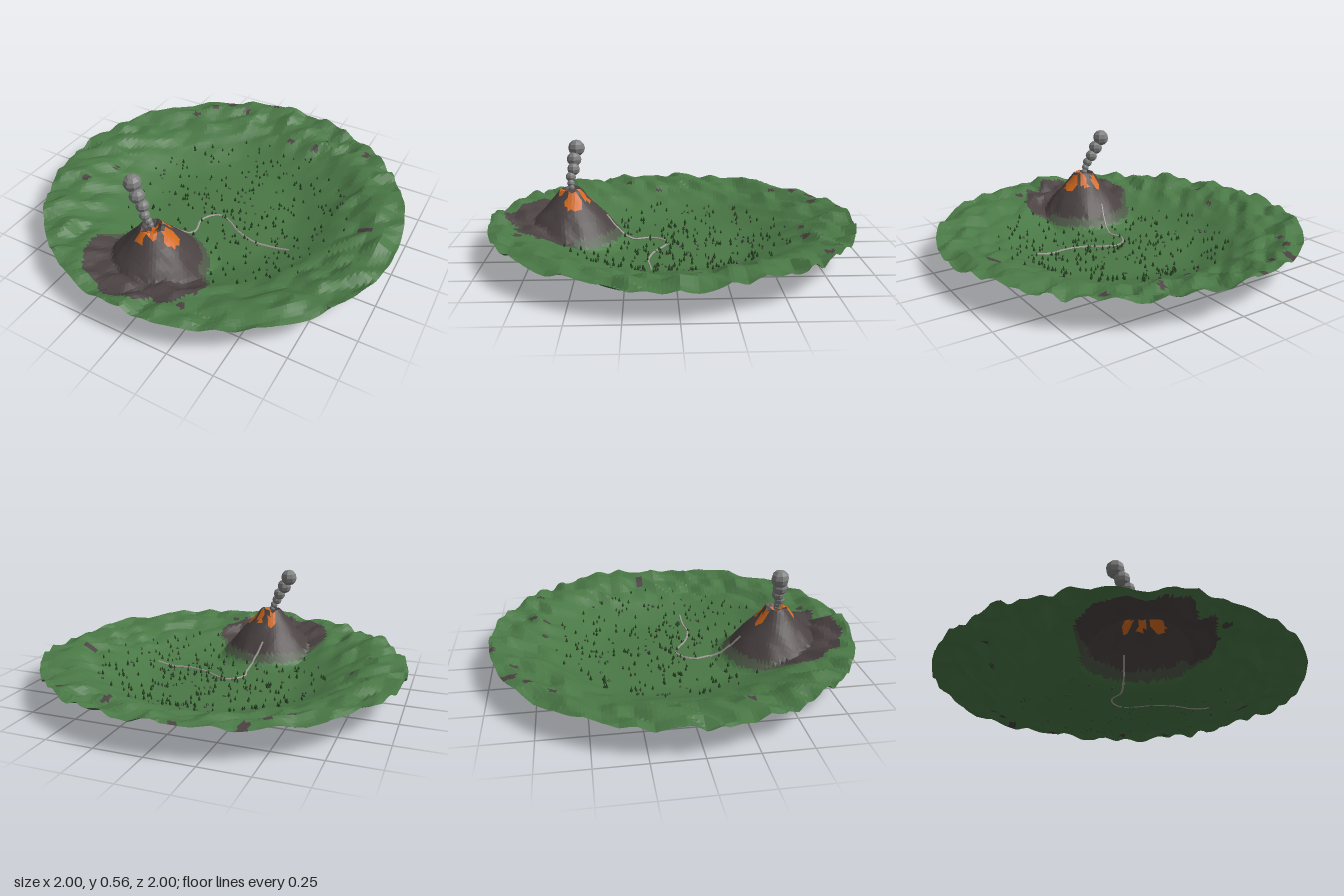
import * as THREE from 'three';
import { mergeGeometries } from 'three/addons/utils/BufferGeometryUtils.js';

const VOLCANO = { x: -0.1, z: 0.565 };
// distance from the volcano axis -> height
const CONE = [[0, 0.275], [0.03, 0.285], [0.055, 0.31], [0.1, 0.25], [0.15, 0.195], [0.2, 0.14], [0.25, 0.075], [0.3, 0.025], [0.36, 0]];
// lava tongues: x, z, half width, half length
const LAVA = [[-0.13, 0.48, 0.022, 0.035], [-0.06, 0.49, 0.02, 0.035], [0, 0.545, 0.04, 0.045],
  [-0.075, 0.605, 0.032, 0.03], [-0.12, 0.645, 0.028, 0.022], [-0.09, 0.56, 0.02, 0.02]];

const hash = (a, b) => {
  const s = Math.sin(a * 127.1 + b * 311.7) * 43758.5453;
  return s - Math.floor(s);
};
const smooth = THREE.MathUtils.smoothstep;
const lerp = THREE.MathUtils.lerp;

// faceted value noise in -1..1
function noise(x, z, size) {
  const u = x / size + 50, v = z / size + 50;
  const i = Math.floor(u), j = Math.floor(v), f = u - i, g = v - j;
  const a = hash(i, j), b = hash(i + 1, j), c = hash(i, j + 1), d = hash(i + 1, j + 1);
  const h = f + g < 1 ? a + (b - a) * f + (c - a) * g : d + (c - d) * (1 - f) + (b - d) * (1 - g);
  return h * 2 - 1;
}

function coneHeight(d) {
  for (let i = 1; i < CONE.length; i++) {
    const [d0, h0] = CONE[i - 1], [d1, h1] = CONE[i];
    if (d <= d1) return lerp(h0, h1, (d - d0) / (d1 - d0));
  }
  return 0;
}

const volcanoDistance = (x, z) => Math.hypot(x - VOLCANO.x, z - VOLCANO.z);

// bowl floor, rugged rim and volcano in one height rule
function height(x, z) {
  const r = Math.hypot(x, z), d = volcanoDistance(x, z);
  const rough = smooth(r, 0.5, 0.85);
  const bowl = 0.004 + 0.15 * smooth(r, 0.36, 0.9) + rough * (0.028 * noise(x, z, 0.075) + 0.014 * noise(x, z, 0.2))
    + 0.006 * smooth(r, 0.3, 0.5) * noise(x, z, 0.16);
  const cone = coneHeight(d) + (d > 0.03 && d < 0.25 ? 0.008 * noise(x, z, 0.06) : 0);
  return Math.max(0, bowl, cone);
}

// which ground cover a small face belongs to
function cover(x, z) {
  const d = volcanoDistance(x, z), r = Math.hypot(x, z);
  if (LAVA.some(([lx, lz, a, b]) => ((x - lx) / a) ** 2 + ((z - lz) / b) ** 2 < 1)) return 'lava';
  const outer = smooth(z, 0.5, 0.66);
  const edge = lerp(0.245, 0.36, outer) + outer * 0.035 * noise(x, z, 0.07);
  if (d < edge) return 'rock';
  if (d < edge + 0.04 * (1 - outer)) return 'ash';
  if (r > 0.7 && hash(Math.floor(x / 0.04) + 90, Math.floor(z / 0.04) + 90) < 0.012) return 'rock';
  return 'grass';
}

// disc of concentric hexagonal rings, faces sorted by cover
function buildGround(rings) {
  const faces = { grass: [], rock: [], ash: [], lava: [] };
  const point = (i, k) => {
    const t = i ? (k / (6 * i)) * Math.PI * 2 : 0, r = i / rings;
    const x = r * Math.cos(t), z = r * Math.sin(t);
    return [x, height(x, z), z];
  };
  const add = (a, b, c) => faces[cover((a[0] + b[0] + c[0]) / 3, (a[2] + b[2] + c[2]) / 3)].push(...a, ...b, ...c);
  for (let i = 1; i <= rings; i++) {
    for (let s = 0; s < 6; s++) {
      for (let j = 0; j < i; j++) {
        const a = point(i, s * i + j), b = point(i, s * i + j + 1);
        const c = point(i - 1, s * (i - 1) + j);
        add(a, c, b);
        if (j < i - 1) add(c, point(i - 1, s * (i - 1) + j + 1), b);
      }
    }
  }
  return faces;
}

export function createModel() {
  const model = new THREE.Group();
  const material = (name, color, side = THREE.FrontSide) => {
    const m = new THREE.MeshStandardMaterial({ color, side, flatShading: true });
    m.name = name;
    return m;
  };
  const mats = {
    grass: material('grass green', 0x4a7846, THREE.DoubleSide),
    rock: material('volcanic rock', 0x4b4242, THREE.DoubleSide),
    ash: material('ashy soil', 0x4e5848, THREE.DoubleSide),
    lava: material('lava orange', 0xd2691e, THREE.DoubleSide),
    smoke: material('smoke grey', 0x808080),
    path: material('path grey', 0xa09a94),
    leaf: material('tree green', 0x23421f),
    trunk: material('trunk brown', 0x4a3320),
    stone: material('stone grey green', 0x3f4f3c),
  };
  const addMesh = (name, geometry, mat) => {
    const mesh = new THREE.Mesh(geometry, mat);
    mesh.name = name;
    model.add(mesh);
    return mesh;
  };

  // bowl-shaped island with the hollow volcano
  const names = { grass: 'valley', rock: 'volcano', ash: 'ashRing', lava: 'lavaFlows' };
  for (const [key, list] of Object.entries(buildGround(52))) {
    const g = new THREE.BufferGeometry();
    g.setAttribute('position', new THREE.Float32BufferAttribute(list, 3));
    g.computeVertexNormals();
    addMesh(names[key], g, mats[key]);
  }

  // smoke column leaning to the right as it grows
  const puffs = [[-0.108, 0.305, 0.565, 0.018], [-0.118, 0.328, 0.568, 0.022], [-0.135, 0.36, 0.57, 0.029],
    [-0.155, 0.402, 0.555, 0.036], [-0.185, 0.452, 0.553, 0.042], [-0.216, 0.512, 0.54, 0.048]];
  const smoke = new THREE.Group();
  smoke.name = 'smokeColumn';
  for (const [x, y, z, r] of puffs) {
    const puff = new THREE.Mesh(new THREE.SphereGeometry(r, 8, 6), mats.smoke);
    puff.name = 'smokePuff';
    puff.position.set(x, y, z);
    smoke.add(puff);
  }
  model.add(smoke);

  // winding path from the volcano flank across the valley
  const route = [[-0.11, 0.37], [-0.08, 0.28], [-0.067, 0.2], [-0.085, 0.12], [-0.055, 0.055], [0, 0.025],
    [0.06, 0.045], [0.13, 0.09], [0.2, 0.12], [0.28, 0.135], [0.36, 0.125], [0.47, 0.12]];
  const flat = new THREE.CatmullRomCurve3(route.map(([x, z]) => new THREE.Vector3(x, 0, z)));
  const draped = flat.getSpacedPoints(50).map((p) => p.setY(height(p.x, p.z) + 0.003));
  addMesh('path', new THREE.TubeGeometry(new THREE.CatmullRomCurve3(draped), 100, 0.006, 6), mats.path);

  // scattered trees and stones, denser towards the middle
  const leaves = [], trunks = [], stones = [];
  for (let i = 0; i < 330; i++) {
    const t = hash(i, 1) * Math.PI * 2, r = 0.64 * Math.pow(hash(i, 2), 0.65);
    const x = 0.06 + r * Math.cos(t), z = -0.02 + r * Math.sin(t);
    if (volcanoDistance(x, z) < 0.3) continue;
    const y = height(x, z), s = 0.7 + 0.6 * hash(i, 3);
    if (i % 5 === 0) {
      stones.push(new THREE.IcosahedronGeometry(0.008 * s).rotateY(t).translate(x, y + 0.002, z));
    } else {
      trunks.push(new THREE.CylinderGeometry(0.0018, 0.0018, 0.008, 5).translate(x, y + 0.004, z));
      leaves.push(new THREE.ConeGeometry(0.0065 * s, 0.021 * s, 6).translate(x, y + 0.006 + 0.0105 * s, z));
    }
  }
  addMesh('treeCrowns', mergeGeometries(leaves), mats.leaf);
  addMesh('treeTrunks', mergeGeometries(trunks), mats.trunk);
  addMesh('stones', mergeGeometries(stones), mats.stone);

  return model;
}
